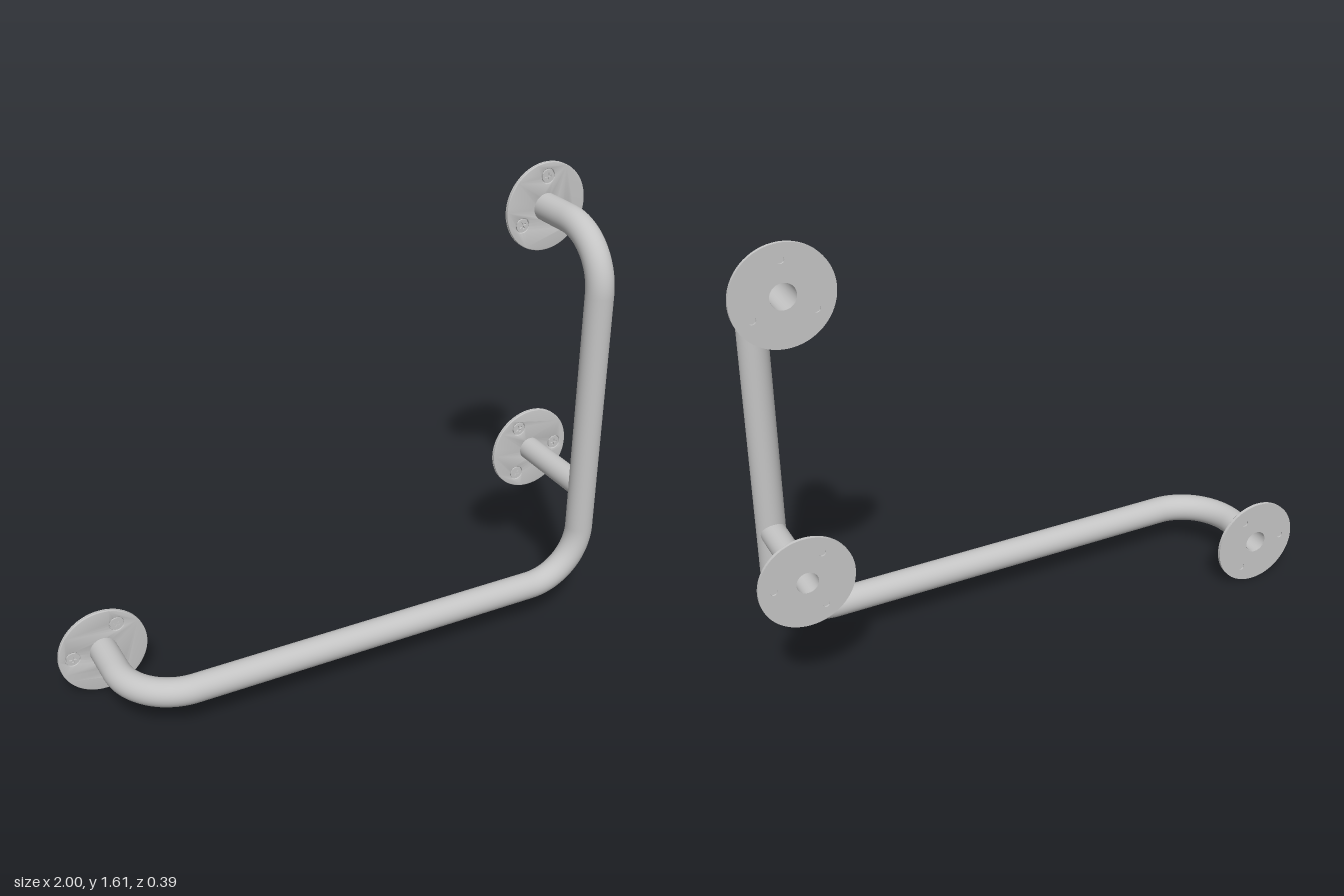
import * as THREE from 'three';
import { toCreasedNormals } from 'three/addons/utils/BufferGeometryUtils.js';

const steel = new THREE.MeshStandardMaterial({ color: 0xc4c4c4, side: THREE.DoubleSide });
steel.name = 'satin steel';

const BACK = -0.197, FRONT = 0.149, SIDE = 0.844;
const LOW = 0.156, MID = 0.512, HIGH = 1.449;
const PLATE_R = 0.156, BOLT_R = 0.107, BEND = 0.2;

function mesh(name, geometry, z = 0) {
  const m = new THREE.Mesh(geometry, steel);
  m.name = name;
  m.position.z = z;
  return m;
}

function extrude(shape, depth, bevel = 0) {
  const g = new THREE.ExtrudeGeometry(shape, {
    depth: depth - 2 * bevel, curveSegments: 32, bevelEnabled: bevel > 0,
    bevelThickness: bevel, bevelSize: bevel, bevelOffset: -bevel, bevelSegments: 3,
  });
  g.translate(0, 0, bevel);
  return toCreasedNormals(g, 0.6);
}

function disc(radius) {
  return new THREE.Shape().absarc(0, 0, radius, 0, Math.PI * 2, false);
}

// Round plate with a central bore and three bolt holes
function plateShape(bore, boltRadius, angle) {
  const shape = disc(PLATE_R);
  shape.holes.push(new THREE.Path().absarc(0, 0, bore, 0, Math.PI * 2, true));
  for (let i = 0; i < 3; i++) {
    const a = angle + i * Math.PI * 2 / 3;
    shape.holes.push(new THREE.Path().absarc(
      Math.cos(a) * BOLT_R, Math.sin(a) * BOLT_R, boltRadius, 0, Math.PI * 2, true));
  }
  return shape;
}

// Screw with a cross recess in its head
function makeScrew() {
  const screw = new THREE.Group();
  screw.name = 'screw';
  const w = 0.0035, l = 0.013;
  const head = disc(0.023);
  head.holes.push(new THREE.Path([
    [w, w], [w, l], [-w, l], [-w, w], [-l, w], [-l, -w],
    [-w, -w], [-w, -l], [w, -l], [w, -w], [l, -w], [l, w],
  ].map(([x, y]) => new THREE.Vector2(x, y))));
  screw.add(mesh('screwHead', extrude(head, 0.006), 0.0075));
  screw.add(mesh('screwCore', extrude(disc(0.02), 0.003), 0.005));
  return screw;
}

function makeFlange(name, x, y, bore, degrees) {
  const flange = new THREE.Group();
  flange.name = name;
  flange.position.set(x, y, BACK);
  const angle = THREE.MathUtils.degToRad(degrees);
  flange.add(mesh('plateBack', extrude(plateShape(bore, 0.012, angle), 0.005)));
  flange.add(mesh('plateFront', extrude(plateShape(bore, 0.026, angle), 0.008, 0.002), 0.005));
  for (let i = 0; i < 3; i++) {
    const a = angle + i * Math.PI * 2 / 3;
    const screw = makeScrew();
    screw.position.set(Math.cos(a) * BOLT_R, Math.sin(a) * BOLT_R, 0);
    screw.rotation.z = a;
    flange.add(screw);
  }
  return flange;
}

// Straight runs joined by quarter-circle bends
function bentPath(corners, radius) {
  const path = new THREE.CurvePath();
  const k = 0.5523;
  let from = corners[0];
  for (let i = 1; i < corners.length - 1; i++) {
    const c = corners[i];
    const before = corners[i - 1].clone().sub(c).normalize();
    const after = corners[i + 1].clone().sub(c).normalize();
    const at = (dir, d) => c.clone().addScaledVector(dir, d);
    const start = at(before, radius), end = at(after, radius);
    path.add(new THREE.LineCurve3(from, start));
    path.add(new THREE.CubicBezierCurve3(
      start, at(before, radius * (1 - k)), at(after, radius * (1 - k)), end));
    from = end;
  }
  path.add(new THREE.LineCurve3(from, corners[corners.length - 1]));
  return path;
}

function railPath(z) {
  return bentPath([
    new THREE.Vector3(-SIDE, LOW + 0.003, z),
    new THREE.Vector3(-SIDE, LOW + 0.003, FRONT),
    new THREE.Vector3(SIDE, LOW + 0.003, FRONT),
    new THREE.Vector3(SIDE, HIGH, FRONT),
    new THREE.Vector3(SIDE, HIGH, z),
  ], BEND);
}

export function createModel() {
  const model = new THREE.Group();
  model.name = 'grabRail';

  // Hollow main rail
  model.add(mesh('rail', new THREE.TubeGeometry(railPath(BACK + 0.006), 260, 0.048, 36)));
  model.add(mesh('railBore', new THREE.TubeGeometry(railPath(BACK + 0.001), 200, 0.04, 24)));

  // Hollow middle support running into the upright
  const support = (name, radius, from, to) => {
    const g = new THREE.CylinderGeometry(radius, radius, to - from, 36, 1, true);
    g.rotateX(Math.PI / 2);
    const m = mesh(name, g);
    m.position.set(SIDE, MID, (from + to) / 2);
    return m;
  };
  model.add(support('support', 0.042, BACK + 0.006, FRONT));
  model.add(support('supportBore', 0.036, BACK + 0.001, FRONT));

  // Wall flanges
  model.add(makeFlange('rightFlange', -SIDE, LOW, 0.04, 180));
  model.add(makeFlange('middleFlange', SIDE, MID, 0.036, 0));
  model.add(makeFlange('upperFlange', SIDE, HIGH, 0.04, 90));
  return model;
}
